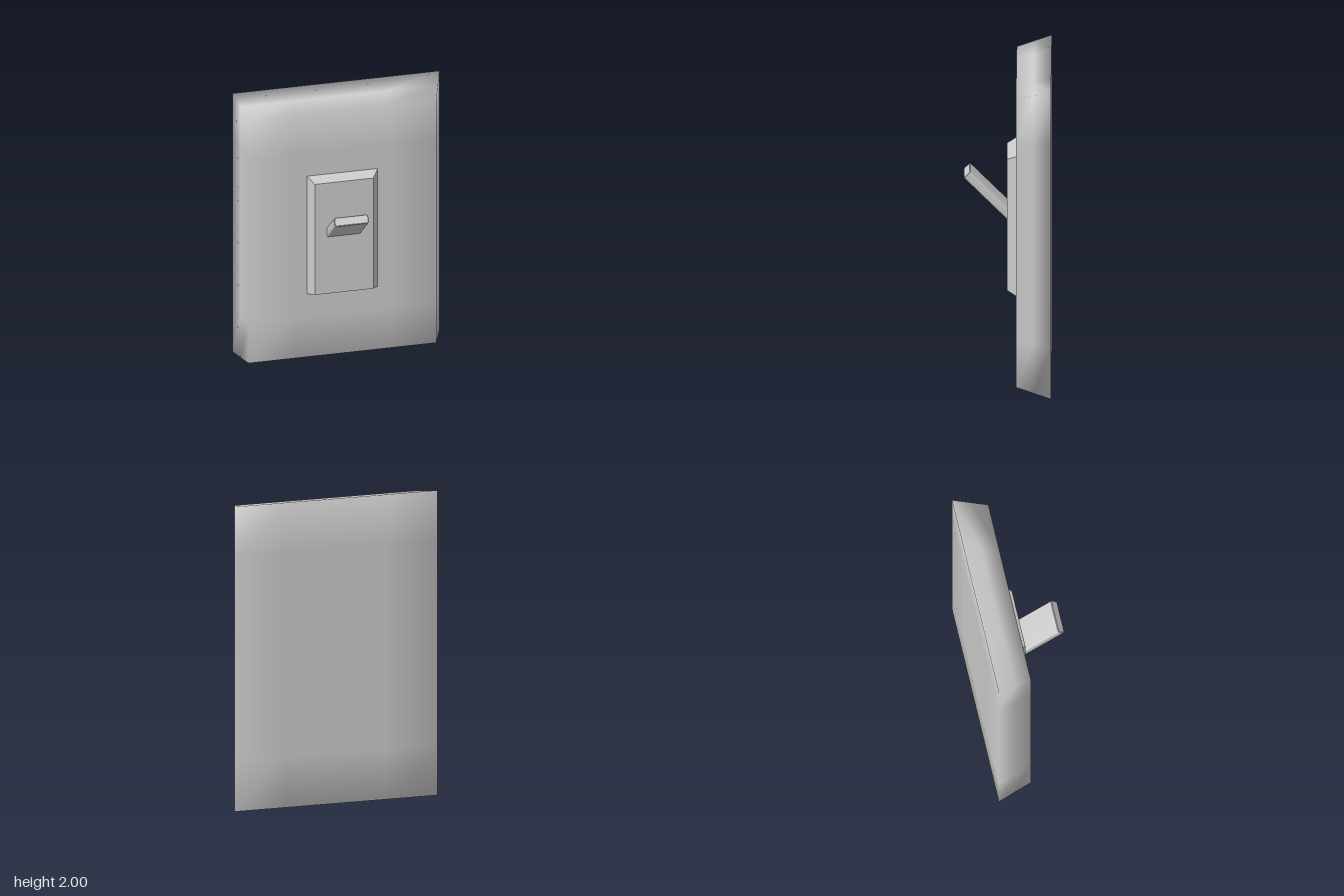
import * as THREE from 'three';
import { mergeVertices, toCreasedNormals } from 'three/addons/utils/BufferGeometryUtils.js';

const material = new THREE.MeshStandardMaterial({ color: 0xcccccc });

// Box from zBack to zFront whose front is inset evenly on all sides
function taperedBlock(halfW, yMin, yMax, zBack, zFront, insetX, insetY, segs) {
  const h = yMax - yMin, d = zFront - zBack;
  const geo = new THREE.BoxGeometry(2 * halfW, h, d, ...segs);
  geo.deleteAttribute('uv');
  geo.deleteAttribute('normal');
  const p = geo.attributes.position;
  for (let i = 0; i < p.count; i++) {
    const t = p.getZ(i) / d + 0.5;
    p.setX(i, p.getX(i) * (1 - t * insetX / halfW));
    p.setY(i, p.getY(i) * (1 - t * insetY / (h / 2)));
  }
  geo.translate(0, (yMin + yMax) / 2, (zBack + zFront) / 2);
  const merged = mergeVertices(geo);
  merged.computeVertexNormals();
  return merged;
}

function roundedRect(w, h, r) {
  const x = w / 2, y = h / 2;
  const s = new THREE.Shape();
  s.moveTo(-x + r, -y);
  s.lineTo(x - r, -y);
  s.quadraticCurveTo(x, -y, x, -y + r);
  s.lineTo(x, y - r);
  s.quadraticCurveTo(x, y, x - r, y);
  s.lineTo(-x + r, y);
  s.quadraticCurveTo(-x, y, -x, y - r);
  s.lineTo(-x, -y + r);
  s.quadraticCurveTo(-x, -y, -x + r, -y);
  return s;
}

export function createModel() {
  const group = new THREE.Group();
  const add = (name, geo) => {
    const mesh = new THREE.Mesh(geo, material);
    mesh.name = name;
    group.add(mesh);
    return mesh;
  };

  // Wall plate, softly shaded, narrowing towards the front
  add('wallPlate', taperedBlock(0.66, 0, 2, -0.275, -0.055, 0.06, 0.06, [4, 6, 2]));

  // Raised panel around the lever, with crisp bevelled edges
  add('switchPanel', toCreasedNormals(
    taperedBlock(0.228, 0.545, 1.46, -0.06, 0.003, 0.041, 0.03, [1, 1, 1]), 0.5));

  // Lever tilted upwards at 45 degrees
  const lever = new THREE.ExtrudeGeometry(roundedRect(0.218, 0.057, 0.014), {
    depth: 0.385, bevelEnabled: true, bevelThickness: 0.004, bevelSize: 0.004,
    bevelOffset: -0.004, bevelSegments: 1, curveSegments: 4,
  });
  const mesh = add('lever', toCreasedNormals(lever, 0.6));
  mesh.position.set(0, 1.03, -0.02);
  mesh.rotation.x = -Math.PI / 4;

  return group;
}
